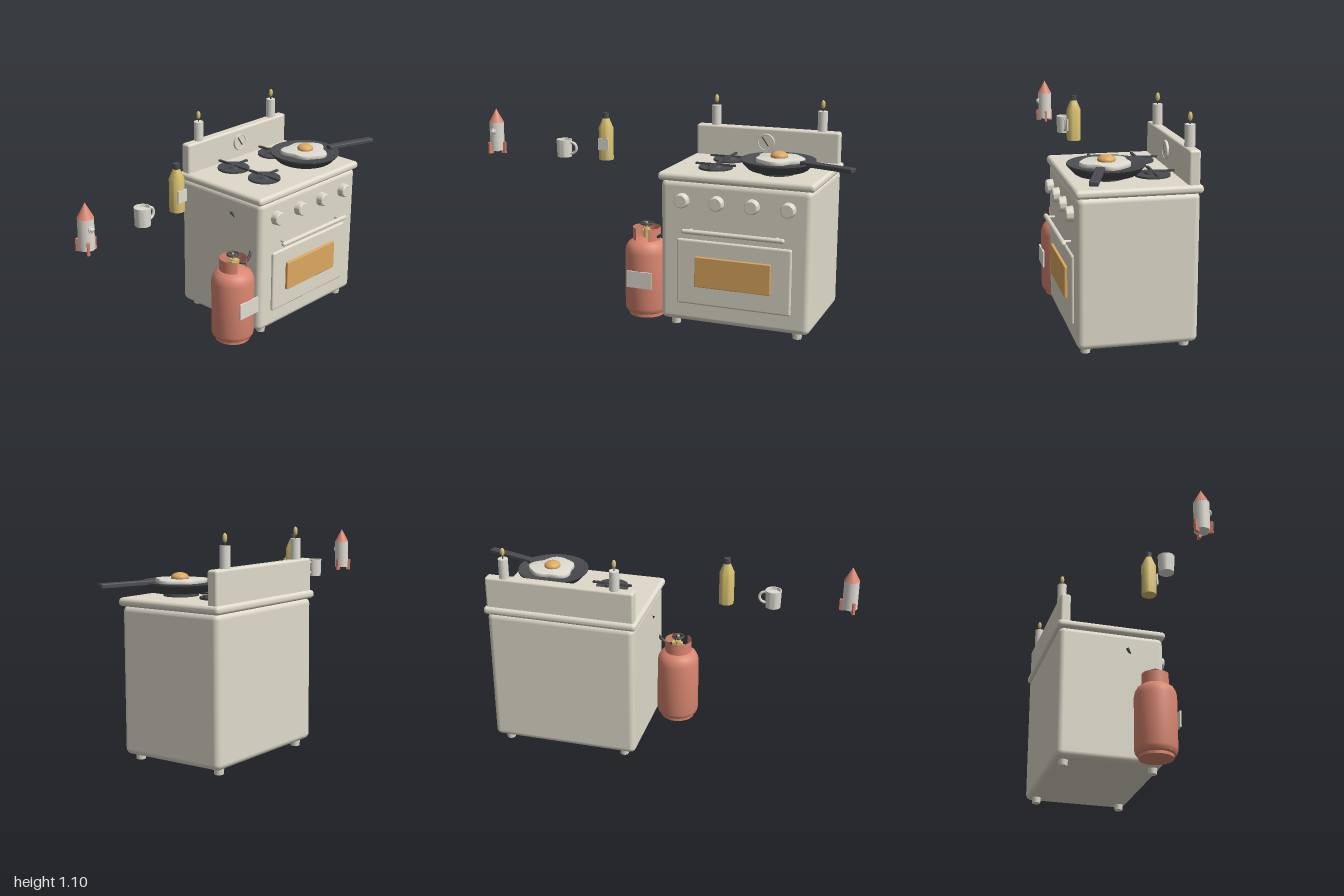
import * as THREE from 'three';
import { toCreasedNormals } from 'three/addons/utils/BufferGeometryUtils.js';
import { RoundedBoxGeometry } from 'three/addons/geometries/RoundedBoxGeometry.js';

const mat = (name, color, side = THREE.FrontSide) => {
  const m = new THREE.MeshStandardMaterial({ color, side });
  m.name = name;
  return m;
};

export function createModel() {
  const root = new THREE.Group();
  root.name = 'kitchenSet';
  const cream = mat('cream enamel', 0xdfdaca);
  const white = mat('off white', 0xdfdcd2);
  const dark = mat('dark iron', 0x4b4c50);
  const red = mat('terracotta red', 0xd98670, THREE.DoubleSide);
  const yellow = mat('pale yellow', 0xd8c070);
  const orange = mat('amber', 0xdda85f);

  const group = (name, x = 0, y = 0, z = 0, parent = root) => {
    const g = new THREE.Group();
    g.name = name;
    g.position.set(x, y, z);
    parent.add(g);
    return g;
  };
  const add = (parent, name, geo, material, x = 0, y = 0, z = 0) => {
    const m = new THREE.Mesh(geo, material);
    m.name = name;
    m.position.set(x, y, z);
    parent.add(m);
    return m;
  };
  const box = (w, h, d) => new THREE.BoxGeometry(w, h, d);
  const rbox = (w, h, d, r) => new RoundedBoxGeometry(w, h, d, 4, r);
  const cyl = (rt, rb, h, n = 24) => new THREE.CylinderGeometry(rt, rb, h, n);
  const lathe = (pts, n = 32) =>
    toCreasedNormals(new THREE.LatheGeometry(pts.map(p => new THREE.Vector2(...p)), n), 0.6);

  // Stove body, top slab, back panel and feet
  const CX = 0.427;
  const stove = group('stove', CX, 0, 0);
  add(stove, 'ovenBody', rbox(0.77, 0.72, 0.57, 0.03), cream, 0, 0.39, -0.022);
  add(stove, 'stoveTop', rbox(0.797, 0.041, 0.592, 0.018), cream, 0, 0.766, -0.022);
  add(stove, 'backPanel', rbox(0.77, 0.17, 0.055, 0.012), cream, 0, 0.86, -0.275);
  for (const x of [-0.317, 0.317])
    for (const z of [0.215, -0.257]) add(stove, 'foot', cyl(0.026, 0.022, 0.04), cream, x, 0.02, z);

  // Oven door, window and handle
  add(stove, 'ovenDoor', rbox(0.588, 0.334, 0.03, 0.01), cream, 0, 0.293, 0.261);
  add(stove, 'ovenWindow', rbox(0.39, 0.155, 0.02, 0.004), orange, 0, 0.301, 0.28);
  const bar = add(stove, 'doorHandle', new THREE.CapsuleGeometry(0.012, 0.5, 6, 16), cream, 0.004, 0.508, 0.303);
  bar.rotation.z = Math.PI / 2;
  for (const x of [-0.22, 0.22])
    add(stove, 'handlePost', cyl(0.007, 0.007, 0.045, 12), cream, x, 0.508, 0.28).rotation.x = Math.PI / 2;

  // Control knobs
  for (let i = 0; i < 4; i++) {
    const k = add(stove, 'knob', lathe([[0, 0], [0.037, 0], [0.037, 0.008], [0.034, 0.032], [0.03, 0.036], [0, 0.036]]),
      cream, -0.268 + i * 0.18, 0.653, 0.262);
    k.rotation.x = Math.PI / 2;
  }

  // Clock on the back panel
  const clock = group('clock', 0, 0.872, -0.245, stove);
  add(clock, 'clockFace', cyl(0.045, 0.045, 0.014, 32), cream).rotation.x = Math.PI / 2;
  add(clock, 'clockRim', new THREE.TorusGeometry(0.042, 0.004, 8, 32), cream, 0, 0, 0.006);
  add(clock, 'minuteHand', box(0.005, 0.04, 0.004), dark, -0.008, 0.012, 0.009).rotation.z = 0.6;
  add(clock, 'hourHand', box(0.005, 0.026, 0.004), dark, 0.006, -0.008, 0.009).rotation.z = 0.6;

  // Candles on the back panel
  for (const x of [0.143, 0.715]) {
    const c = group('candle', x, 0.945, -0.276);
    add(c, 'wax', cyl(0.025, 0.025, 0.102), white, 0, 0.051, 0);
    add(c, 'wick', cyl(0.003, 0.003, 0.025, 8), dark, 0, 0.112, 0);
    add(c, 'flame', new THREE.SphereGeometry(0.011, 16, 12), yellow, 0, 0.137, 0).scale.y = 2;
  }

  // Burners with cross grates
  for (const x of [0.267, 0.587])
    for (const z of [-0.137, 0.083]) {
      const b = group('burner', x, 0.786, z);
      add(b, 'burnerPlate', cyl(0.085, 0.085, 0.01, 32), dark, 0, 0.005, 0);
      add(b, 'burnerCap', cyl(0.036, 0.04, 0.012), dark, 0, 0.014, 0);
      for (const r of [0, Math.PI / 2])
        add(b, 'grateBar', box(0.21, 0.01, 0.012), dark, 0, 0.02, 0).rotation.y = r;
    }

  // Frying pan
  const pan = group('fryingPan', 0.59, 0, 0.085);
  add(pan, 'panBowl', lathe([[0, 0.807], [0.14, 0.807], [0.148, 0.812], [0.184, 0.85], [0.184, 0.858],
    [0.178, 0.858], [0.155, 0.848], [0, 0.848]], 40), dark);
  add(pan, 'panHandle', rbox(0.285, 0.024, 0.042, 0.006), dark, 0.268, 0.858, 0.098).rotation.y = -0.31;

  // Fried egg
  const outline = [];
  for (let i = 0; i < 40; i++) {
    const a = (i / 40) * Math.PI * 2;
    const r = 0.112 + 0.01 * Math.sin(3 * a + 0.6) + 0.008 * Math.sin(5 * a + 2);
    outline.push(new THREE.Vector2(r * Math.cos(a), r * Math.sin(a)));
  }
  const eggGeo = new THREE.ExtrudeGeometry(new THREE.Shape(outline), {
    depth: 0.014, bevelThickness: 0.004, bevelSize: 0.004, bevelSegments: 2 });
  add(pan, 'eggWhite', toCreasedNormals(eggGeo, 0.7), white, 0.004, 0.85, 0).rotation.x = -Math.PI / 2;
  add(pan, 'eggYolk', new THREE.SphereGeometry(0.043, 28, 18), orange, 0.004, 0.873, -0.001).scale.y = 0.58;

  // Gas cylinder with collar, valve and label
  const gas = group('gasCylinder', -0.068, 0, 0.178);
  add(gas, 'tank', lathe([[0, 0.018], [0.09, 0.018], [0.09, 0.034], [0.1, 0.038], [0.108, 0.05], [0.111, 0.065],
    [0.111, 0.35], [0.107, 0.372], [0.095, 0.396], [0.07, 0.414], [0.035, 0.422], [0, 0.424]], 40), red);
  const gap = 0.5;
  add(gas, 'collar', new THREE.CylinderGeometry(0.071, 0.071, 0.07, 32, 1, true, gap, Math.PI * 2 - 2 * gap), red, 0, 0.442, 0);
  add(gas, 'valveStem', cyl(0.015, 0.018, 0.05), yellow, 0, 0.445, 0);
  add(gas, 'valveBody', box(0.055, 0.02, 0.025), yellow, 0.006, 0.45, 0);
  add(gas, 'valveSpindle', cyl(0.007, 0.007, 0.035, 12), yellow, 0, 0.483, 0);
  const wheel = group('handWheel', 0, 0.494, 0, gas);
  add(wheel, 'wheelRim', new THREE.TorusGeometry(0.028, 0.006, 10, 28), dark).rotation.x = Math.PI / 2;
  for (const r of [0, Math.PI / 2]) add(wheel, 'wheelSpoke', box(0.054, 0.005, 0.006), dark).rotation.y = r;
  add(gas, 'tankLabel', box(0.135, 0.086, 0.009), white, 0.003, 0.224, 0.111);

  // Gas hose into the stove side
  const hose = new THREE.CatmullRomCurve3([[-0.04, 0.45, 0.178], [-0.01, 0.432, 0.195], [0.03, 0.455, 0.2],
    [0.07, 0.53, 0.17], [0.06, 0.61, 0.1], [0.036, 0.665, 0.06]].map(p => new THREE.Vector3(...p)));
  add(root, 'gasHose', new THREE.TubeGeometry(hose, 40, 0.008, 10), dark);

  // Bottle
  const bottle = group('bottle', -0.344, 0.783, 0.062);
  add(bottle, 'bottleGlass', lathe([[0, 0], [0.038, 0], [0.038, 0.166], [0.016, 0.218], [0, 0.218]], 24), yellow);
  add(bottle, 'bottleCap', cyl(0.017, 0.017, 0.027, 20), dark, 0, 0.23, 0);
  add(bottle, 'bottleLabel', box(0.056, 0.062, 0.008), white, 0, 0.085, 0.037);

  // Mug
  const mug = group('mug', -0.581, 0.783, 0.075);
  add(mug, 'mugCup', lathe([[0, 0], [0.038, 0], [0.041, 0.092], [0.035, 0.092], [0.033, 0.078], [0, 0.078]], 28), white);
  const ear = add(mug, 'mugHandle', new THREE.TorusGeometry(0.029, 0.0075, 10, 24, Math.PI * 1.2), white, 0.041, 0.048, 0);
  ear.rotation.z = -Math.PI * 0.6;

  // Toy rocket
  const rocket = group('toyRocket', -0.959, 0.783, 0.122);
  add(rocket, 'rocketBody', cyl(0.038, 0.038, 0.15), white, 0, 0.092, 0);
  add(rocket, 'noseCone', new THREE.ConeGeometry(0.039, 0.073, 24), red, 0, 0.203, 0);
  add(rocket, 'porthole', new THREE.SphereGeometry(0.013, 16, 12), white, 0, 0.12, 0.038);
  add(rocket, 'portholeRim', new THREE.TorusGeometry(0.014, 0.004, 8, 20), white, 0, 0.12, 0.039);
  for (let i = 0; i < 3; i++) {
    const f = group('finMount', 0, 0, 0, rocket);
    f.rotation.y = (i * Math.PI * 2) / 3;
    add(f, 'fin', box(0.026, 0.06, 0.012), red, 0.039, 0.032, 0);
  }

  return root;
}
